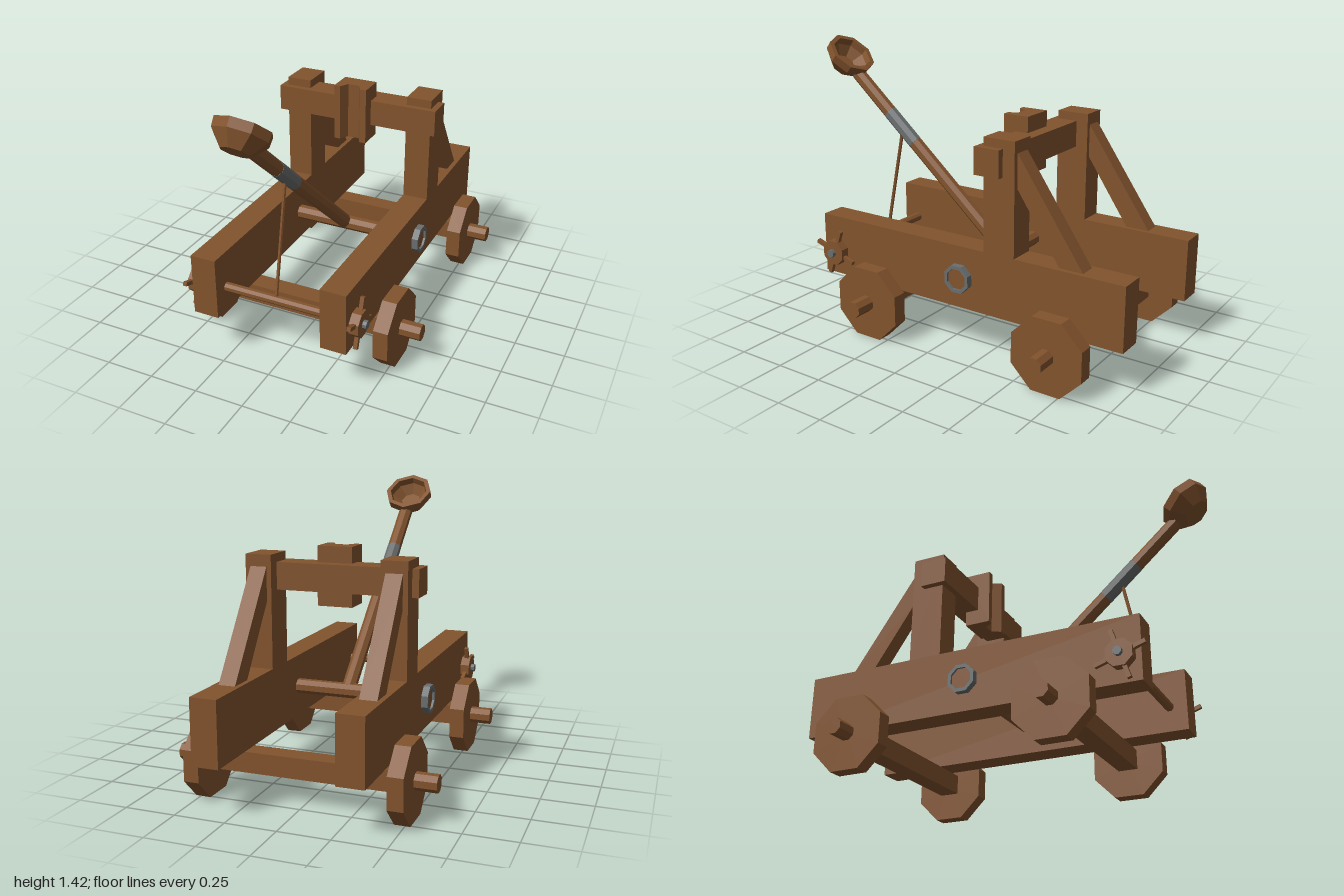
import * as THREE from 'three';

export function createModel() {
  const root = new THREE.Group();
  const wood = new THREE.MeshStandardMaterial({ color: 0x82532d });
  wood.name = 'wood';
  const iron = new THREE.MeshStandardMaterial({ color: 0x6a6e6e });
  iron.name = 'iron';

  // Faceted normals for the low-poly look
  const facet = (g) => {
    const f = g.index ? g.toNonIndexed() : g;
    f.computeVertexNormals();
    return f;
  };
  const add = (name, geo, mat = wood, parent = root) => {
    const m = new THREE.Mesh(facet(geo), mat);
    m.name = name;
    parent.add(m);
    return m;
  };
  // Box given by its min and max on each axis
  const box = (name, x0, x1, y0, y1, z0, z1) =>
    add(name, new THREE.BoxGeometry(x1 - x0, y1 - y0, z1 - z0)
      .translate((x0 + x1) / 2, (y0 + y1) / 2, (z0 + z1) / 2));
  // Eight-sided rod along x
  const rod = (name, r, x0, x1, y, z, mat = wood) =>
    add(name, new THREE.CylinderGeometry(r, r, Math.abs(x1 - x0), 8)
      .rotateY(Math.PI / 8).rotateZ(Math.PI / 2).translate((x0 + x1) / 2, y, z), mat);
  const polygon = (pts) => new THREE.Shape(pts.map(([x, y]) => new THREE.Vector2(x, y)));

  const pivot = { y: 0.395, z: -0.13 };
  const winch = { y: 0.367, z: 0.65 };

  // Axles
  for (const [end, z] of [['front', 0.36], ['rear', -0.683]]) {
    box(end + 'Axle', -0.45, 0.45, 0.135, 0.235, z - 0.05, z + 0.05);
  }

  for (const s of [1, -1]) {
    const side = s > 0 ? 'left' : 'right';
    const sideBox = (name, x0, x1, ...rest) =>
      box(side + name, Math.min(s * x0, s * x1), Math.max(s * x0, s * x1), ...rest);
    const sideRod = (name, r, x0, x1, y, z, mat) => rod(side + name, r, s * x0, s * x1, y, z, mat);

    // Frame rail and upright
    sideBox('Rail', 0.272, 0.403, 0.24, 0.555, -1, 0.74);
    sideBox('Post', 0.272, 0.403, 0.555, 1.108, -0.435, -0.267);

    // Diagonal brace, drawn in (-z, y) and turned to run along x
    const brace = polygon([[0.435, 0.885], [0.66, 0.555], [0.78, 0.555], [0.435, 1.05]]);
    add(side + 'Brace', new THREE.ExtrudeGeometry(brace, { depth: 0.083, bevelEnabled: false })
      .translate(0, 0, -0.0415).rotateY(Math.PI / 2).translate(s * 0.337, 0, 0));

    // Wheels and axle ends
    for (const [end, z] of [['Front', 0.36], ['Rear', -0.683]]) {
      sideRod(end + 'Wheel', 0.197, 0.45, 0.525, 0.182, z);
      sideRod(end + 'AxleEnd', 0.042, 0.52, 0.63, 0.184, z);
    }

    // Arm pivot cap: iron ring around a wooden disc
    const ring = new THREE.Shape();
    const hole = new THREE.Path();
    for (let i = 0; i < 8; i++) {
      const a = (i + 0.5) * Math.PI / 4, c = Math.cos(a), n = Math.sin(a);
      i ? ring.lineTo(0.073 * c, 0.073 * n) : ring.moveTo(0.073 * c, 0.073 * n);
      i ? hole.lineTo(0.055 * c, 0.055 * n) : hole.moveTo(0.055 * c, 0.055 * n);
    }
    ring.holes.push(hole);
    add(side + 'PivotRing', new THREE.ExtrudeGeometry(ring, { depth: 0.034, bevelEnabled: false })
      .translate(0, 0, -0.017).rotateY(Math.PI / 2).translate(s * 0.419, pivot.y, pivot.z), iron);
    sideRod('PivotDisc', 0.055, 0.4, 0.425, pivot.y, pivot.z);

    // Winch wheel with four handles and an iron bolt
    sideRod('WinchHub', 0.068, 0.403, 0.45, winch.y, winch.z);
    sideRod('WinchBolt', 0.021, 0.44, 0.47, winch.y, winch.z, iron);
    for (let i = 0; i < 4; i++) {
      add(side + 'WinchHandle', new THREE.BoxGeometry(0.02, 0.08, 0.02).translate(0, 0.085, 0)
        .rotateX(-0.32 + i * Math.PI / 2).translate(s * 0.428, winch.y, winch.z));
    }
  }

  // Shafts between the rails
  rod('pivotShaft', 0.038, -0.3, 0.3, pivot.y, pivot.z);
  rod('winchShaft', 0.023, -0.3, 0.3, winch.y, winch.z);

  // Crossbeam and grooved stop block
  box('crossbeam', -0.436, 0.436, 0.933, 1.066, -0.372, -0.237);
  const block = polygon([[-0.088, 0.172], [-0.055, 0.172], [-0.03, 0.218], [0.03, 0.218],
    [0.055, 0.172], [0.088, 0.172], [0.088, 0.307], [-0.088, 0.307]]);
  add('stopBlock', new THREE.ExtrudeGeometry(block, { depth: 0.29, bevelEnabled: false })
    .rotateX(-Math.PI / 2).translate(0, 0.855, 0));

  // Throwing arm, built along y and tilted forward about the pivot
  const arm = new THREE.Group();
  arm.name = 'throwingArm';
  arm.position.set(0, pivot.y, pivot.z);
  arm.rotation.x = THREE.MathUtils.degToRad(49);
  root.add(arm);
  const armRod = (name, r, y0, y1, mat) =>
    add(name, new THREE.CylinderGeometry(r, r, y1 - y0, 8).rotateY(Math.PI / 8)
      .translate(0, (y0 + y1) / 2, 0), mat, arm);
  armRod('armLower', 0.037, 0, 0.76, wood);
  armRod('armBand', 0.038, 0.76, 0.98, iron);
  armRod('armUpper', 0.037, 0.98, 1.27, wood);

  // Cup opening across the arm: outer wall up, rim, inner wall down
  const profile = [[0, -0.112], [0.07, -0.112], [0.13, -0.045], [0.133, 0], [0.108, 0],
    [0.102, -0.035], [0.055, -0.08], [0, -0.08]].map(([x, y]) => new THREE.Vector2(x, y));
  add('cup', new THREE.LatheGeometry(profile, 8).rotateX(-Math.PI / 2)
    .translate(0, 1.37, -0.057), wood, arm);

  // Rope from the arm down to the winch shaft
  const rope = new THREE.LineCurve3(new THREE.Vector3(0, 0.95, 0.53),
    new THREE.Vector3(0, winch.y, winch.z));
  add('rope', new THREE.TubeGeometry(rope, 1, 0.009, 6));

  return root;
}
